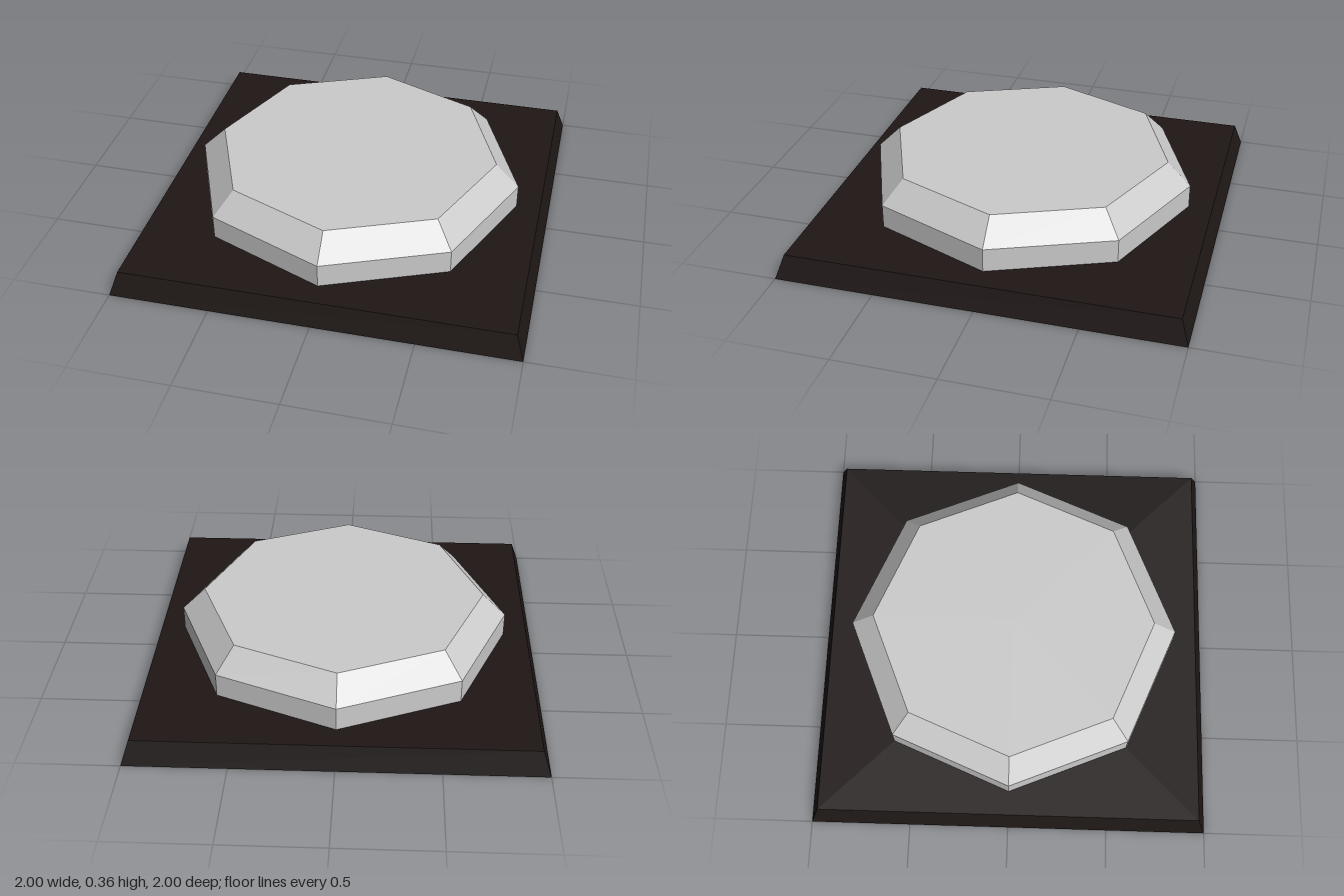
import * as THREE from 'three';

const dark = new THREE.MeshStandardMaterial({ color: 0x1e1716, flatShading: true });
const grey = new THREE.MeshStandardMaterial({ color: 0xcccccc, flatShading: true });

// Open ring of flat sides from y0 to y1
function ring(rTop, rBottom, y0, y1, sides, open) {
  const g = new THREE.CylinderGeometry(rTop, rBottom, y1 - y0, sides, 1, open);
  return g.translate(0, (y0 + y1) / 2, 0);
}

function part(name, geometry, material) {
  const mesh = new THREE.Mesh(geometry, material);
  mesh.name = name;
  return mesh;
}

export function createModel() {
  const model = new THREE.Group();
  model.name = 'pressurePlate';

  // Square base with slightly sloping sides
  const base = ring(0.96 * Math.SQRT2, Math.SQRT2, 0, 0.12, 4, false).rotateY(Math.PI / 4);
  model.add(part('base', base, dark));

  // Octagonal button: upright wall, then bevel and flat top
  const button = new THREE.Group();
  button.name = 'button';
  button.add(part('buttonWall', ring(0.84, 0.84, 0.12, 0.24, 8, true), grey));

  const cap = ring(0.72, 0.84, 0.24, 0.36, 8, false);
  // Keep the bevel and top, drop the hidden underside
  const undersideCount = cap.groups[2].count;
  cap.setIndex(Array.from(cap.index.array).slice(0, -undersideCount));
  cap.clearGroups();
  button.add(part('buttonCap', cap, grey));

  model.add(button);
  return model;
}
